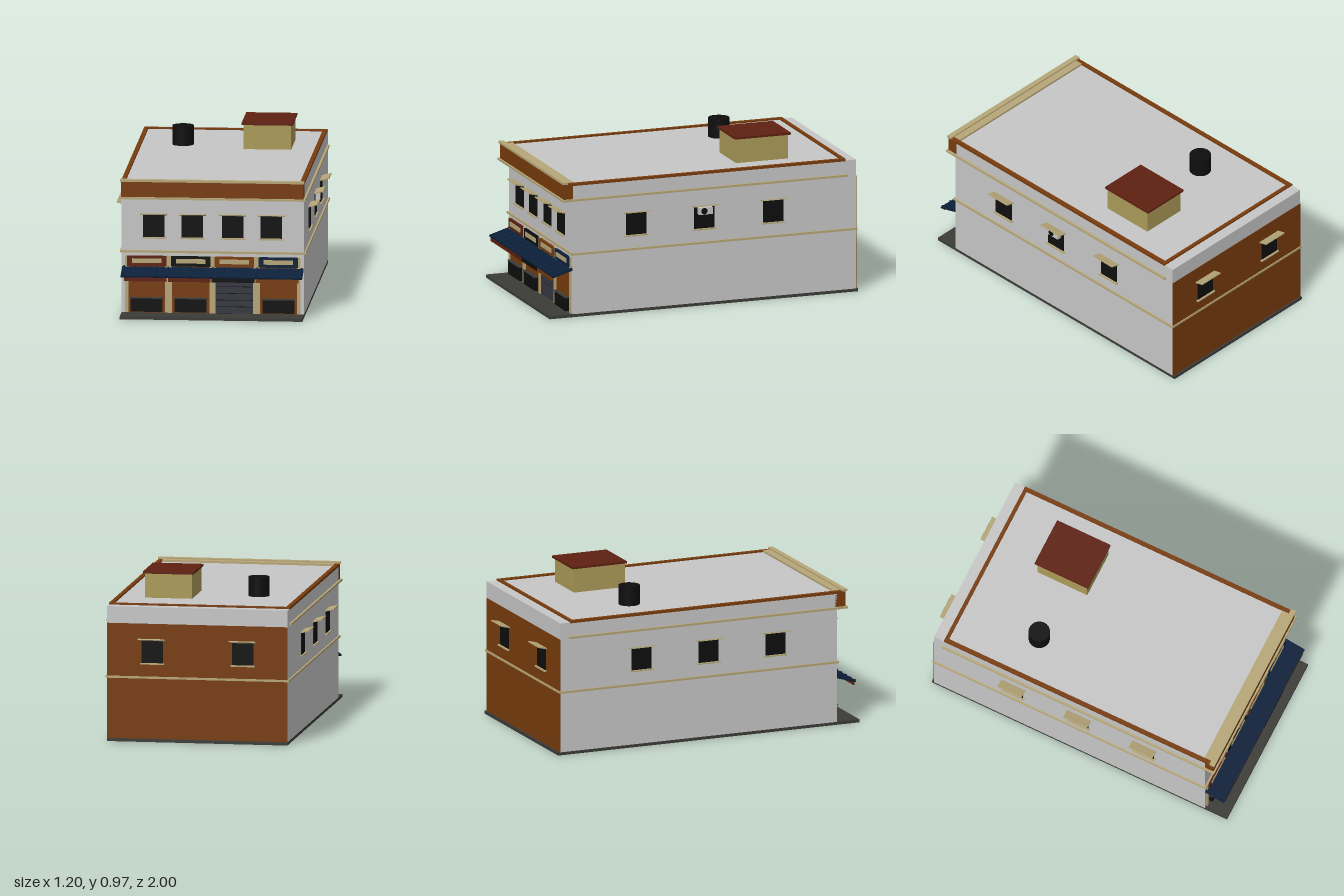
import * as THREE from 'three';

const paint = (name, hex) => {
  const m = new THREE.MeshStandardMaterial({ color: hex });
  m.name = name;
  return m;
};

export function createModel() {
  const white = paint('plasterWhite', 0xc6c6c6), brown = paint('brickBrown', 0x783c0d);
  const tan = paint('trimTan', 0xb6a678), ochre = paint('stairOchre', 0xab9a58);
  const red = paint('tileRed', 0x5e2010), navy = paint('awningNavy', 0x0c203a);
  const black = paint('glassBlack', 0x0e0e0e), grey = paint('shutterGrey', 0x373741);
  const stone = paint('pavingGrey', 0x3b3b38);

  const model = new THREE.Group();
  model.name = 'shopBuilding';

  const add = (parent, name, geometry, material) => {
    const m = new THREE.Mesh(geometry, material);
    m.name = name;
    parent.add(m);
    return m;
  };
  // Box given by its extents on each axis
  const box = (name, mat, x0, x1, y0, y1, z0, z1, parent = model) => {
    const m = add(parent, name, new THREE.BoxGeometry(x1 - x0, y1 - y0, z1 - z0), mat);
    m.position.set((x0 + x1) / 2, (y0 + y1) / 2, (z0 + z1) / 2);
    return m;
  };

  // Main volume
  box('paving', stone, -0.545, 0.545, 0, 0.018, -0.96, 1);
  box('walls', white, -0.545, 0.545, 0.018, 0.81, -0.945, 0.853);
  box('backWallFace', brown, -0.545, 0.545, 0.018, 0.71, -0.948, -0.945);
  box('lowerCornice', tan, -0.555, 0.555, 0.38, 0.393, -0.953, 0.863);
  box('upperCornice', tan, -0.558, 0.558, 0.712, 0.725, -0.89, 0.92);

  // Parapet
  box('frontParapet', brown, -0.545, 0.545, 0.725, 0.817, 0.845, 0.91);
  box('frontCoping', tan, -0.55, 0.55, 0.817, 0.83, 0.885, 0.918);
  box('parapetTop', tan, -0.52, 0.52, 0.81, 0.822, 0.84, 0.885);
  box('backParapet', brown, -0.545, 0.545, 0.805, 0.82, -0.88, -0.858);
  for (const s of [-1, 1]) {
    const a = s * 0.521, b = s * 0.546;
    box('sideParapet', brown, Math.min(a, b), Math.max(a, b), 0.805, 0.82, -0.88, 0.885);
  }

  // Roof items
  box('stairHouse', ochre, 0.095, 0.38, 0.81, 0.957, -0.575, -0.245);
  box('stairHouseRoof', red, 0.085, 0.39, 0.957, 0.97, -0.59, -0.235);
  const tank = add(model, 'waterTank', new THREE.CylinderGeometry(0.064, 0.064, 0.115, 20), black);
  tank.position.set(-0.275, 0.8675, -0.38);

  // Windows, built facing +z and turned onto each wall
  const addWindow = (x, z, turn) => {
    const g = new THREE.Group();
    g.name = 'window';
    box('pane', black, -0.064, 0.064, 0.475, 0.61, -0.002, 0.005, g);
    box('sill', tan, -0.073, 0.073, 0.466, 0.474, 0, 0.015, g);
    const hood = box('hood', tan, -0.079, 0.079, 0.613, 0.62, -0.003, 0.056, g);
    hood.rotation.x = -0.25;
    g.position.set(x, 0, z);
    g.rotation.y = turn;
    model.add(g);
    return g;
  };
  for (const x of [-0.352, -0.122, 0.119, 0.349]) addWindow(x, 0.853, 0);
  for (const x of [-0.275, 0.272]) addWindow(x, -0.947, Math.PI);
  for (const z of [-0.418, 0.018, 0.452]) {
    addWindow(-0.545, z, -Math.PI / 2);
    const w = addWindow(0.545, z, Math.PI / 2);
    // Air conditioner under the middle hood
    if (Math.abs(z) < 0.1) {
      box('airConditioner', white, -0.045, 0.042, 0.565, 0.608, 0.005, 0.033, w);
      const fan = add(w, 'fanGrille', new THREE.CylinderGeometry(0.019, 0.019, 0.004, 20), black);
      fan.rotation.x = Math.PI / 2;
      fan.position.set(-0.012, 0.587, 0.034);
    }
  }

  // Pilasters between the shops
  for (const [a, b] of [[-0.525, -0.505], [-0.285, -0.245], [-0.02, 0.017], [0.241, 0.281], [0.503, 0.523]])
    box('pilaster', tan, a, b, 0.018, 0.362, 0.85, 0.862);

  // Four shop bays
  const bays = [
    { x: -0.395, sign: red, valance: red, counter: true },
    { x: -0.132, sign: black, valance: red, counter: true },
    { x: 0.129, sign: brown, valance: black, counter: false },
    { x: 0.392, sign: navy, valance: brown, counter: true },
  ];
  for (const { x, sign, valance, counter } of bays) {
    box('signBoard', sign, x - 0.118, x + 0.118, 0.3, 0.361, 0.85, 0.868);
    box('signPanel', tan, x - 0.088, x + 0.088, 0.319, 0.346, 0.868, 0.872);
    box('valance', valance, x - 0.127, x + 0.127, 0.227, 0.25, 0.97, 0.978);
    if (counter) {
      box('shopFront', brown, x - 0.112, x + 0.112, 0.018, 0.3, 0.85, 0.857);
      box('counter', black, x - 0.095, x + 0.095, 0.025, 0.105, 0.857, 0.878);
      box('counterTop', stone, x - 0.099, x + 0.099, 0.105, 0.111, 0.857, 0.881);
    } else {
      box('shutterBack', black, x - 0.113, x + 0.113, 0.018, 0.3, 0.85, 0.855);
      for (let i = 0; i < 7; i++) {
        const y = 0.02 + i * 0.0405;
        box('shutterSlat', grey, x - 0.112, x + 0.112, y, y + 0.036, 0.855, 0.859);
      }
    }
  }

  // Sloping awning with ribs
  const awning = new THREE.Group();
  awning.name = 'awning';
  box('awningSheet', navy, -0.542, 0.542, -0.005, 0.005, -0.066, 0.066, awning);
  for (let i = 0; i < 17; i++) {
    const x = -0.53 + i * 0.06625;
    box('awningRib', navy, x - 0.004, x + 0.004, 0.005, 0.01, -0.066, 0.066, awning);
  }
  awning.position.set(0, 0.272, 0.915);
  awning.rotation.x = 0.29;
  model.add(awning);

  return model;
}
